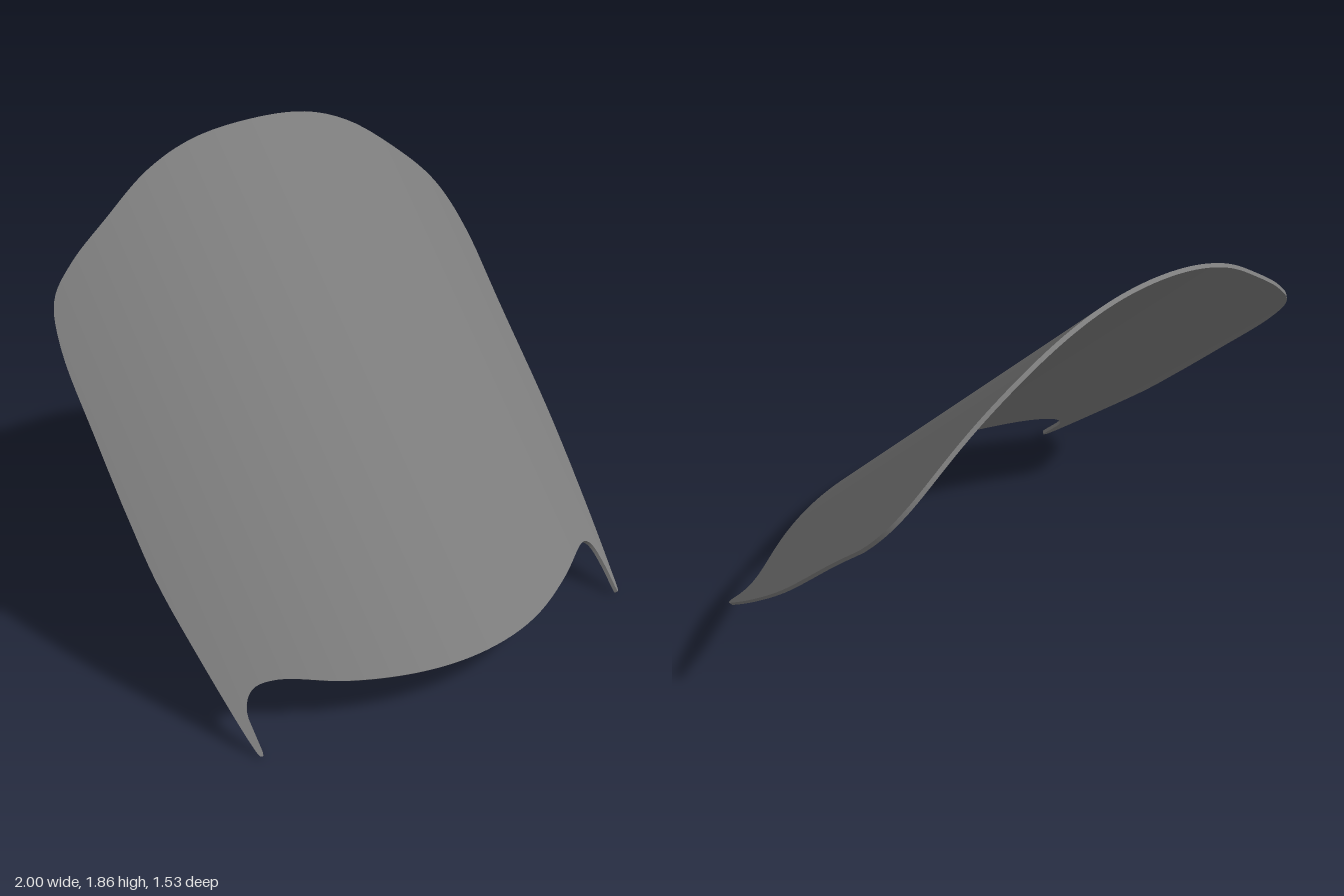
import * as THREE from 'three';

const SLOPE = 1.112, THICK = 0.016;

// Edge outlines seen from the front, left to right
const LOWER = [[-1, 0.75], [-0.997, 0.53], [-0.97, 0.315], [-0.922, 0.04], [-0.912, 0.012], [-0.903, 0.012],
  [-0.896, 0.14], [-0.85, 0.205], [-0.76, 0.23], [-0.553, 0.208], [-0.26, 0.191], [0, 0.187], [0.275, 0.195],
  [0.54, 0.22], [0.735, 0.236], [0.79, 0.221], [0.826, 0.184], [0.846, 0.11], [0.854, 0.02], [0.861, 0.02],
  [0.88, 0.08], [0.93, 0.29], [0.976, 0.58], [0.985, 0.957], [0.997, 1.145]];
const UPPER = [[-1, 0.75], [-0.996, 0.95], [-0.985, 1.22], [-0.945, 1.37], [-0.847, 1.486], [-0.687, 1.615],
  [-0.473, 1.76], [-0.26, 1.84], [0, 1.866], [0.275, 1.84], [0.49, 1.76], [0.7, 1.615], [0.89, 1.444],
  [0.96, 1.33], [0.99, 1.22], [0.997, 1.145]];

// Smooth an outline, keeping x in rising order
function smooth(points) {
  const curve = new THREE.CatmullRomCurve3(points.map(([x, y]) => new THREE.Vector3(x, y, 0)));
  const out = curve.getPoints((points.length - 1) * 6);
  for (let i = 1; i < out.length; i++) out[i].x = Math.max(out[i].x, out[i - 1].x + 1e-6);
  return out;
}

function heightAt(line, x) {
  let i = 1;
  while (i < line.length - 1 && line[i].x < x) i++;
  const a = line[i - 1], b = line[i];
  const t = THREE.MathUtils.clamp((x - a.x) / (b.x - a.x), 0, 1);
  return a.y + (b.y - a.y) * t;
}

// Sloping sheet, bowed across its width
const normalAt = (x) => new THREE.Vector3(0.92 * x, 1, SLOPE).normalize();
const outerPoint = (x, y) => new THREE.Vector3(x, y, (1.03 - 0.46 * x * x - y) / SLOPE);
const innerPoint = (x, y) => outerPoint(x, y).addScaledVector(normalAt(x), -THICK);

// Ribbon of quads between two rows of points
function ribbon(rowA, rowB) {
  const n = rowA.length, index = [];
  for (let i = 0; i < n - 1; i++) index.push(i, i + 1, n + i + 1, i, n + i + 1, n + i);
  const geometry = new THREE.BufferGeometry().setFromPoints([...rowA, ...rowB]);
  geometry.setIndex(index);
  geometry.computeVertexNormals();
  return geometry;
}

// Exact normals of the bowed sheet
function bowNormals(geometry, xs, sign) {
  const normals = geometry.attributes.normal;
  [...xs, ...xs].forEach((x, i) => {
    const n = normalAt(x).multiplyScalar(sign);
    normals.setXYZ(i, n.x, n.y, n.z);
  });
  return geometry;
}

export function createModel() {
  const group = new THREE.Group();
  group.name = 'curvedShield';
  const grey = new THREE.MeshStandardMaterial({ color: 0x7c7c7c });
  grey.name = 'mid grey';

  const low = smooth(LOWER), high = smooth(UPPER);
  const xs = [...low, ...high].map((p) => p.x).sort((a, b) => a - b)
    .filter((x, i, all) => i === 0 || x - all[i - 1] > 1e-7);
  const lowYs = xs.map((x) => heightAt(low, x));
  const highYs = xs.map((x) => heightAt(high, x));
  const row = (point, ys) => xs.map((x, i) => point(x, ys[i]));

  const outerLow = row(outerPoint, lowYs), outerHigh = row(outerPoint, highYs);
  const innerLow = row(innerPoint, lowYs), innerHigh = row(innerPoint, highYs);

  const add = (name, geometry) => {
    const mesh = new THREE.Mesh(geometry, grey);
    mesh.name = name;
    group.add(mesh);
  };
  add('outerFace', bowNormals(ribbon(outerLow, outerHigh), xs, 1));
  add('innerFace', bowNormals(ribbon(innerHigh, innerLow), xs, -1));
  // Narrow rims closing the sheet
  add('lowerRim', ribbon(innerLow, outerLow));
  add('upperRim', ribbon(outerHigh, innerHigh));
  return group;
}
